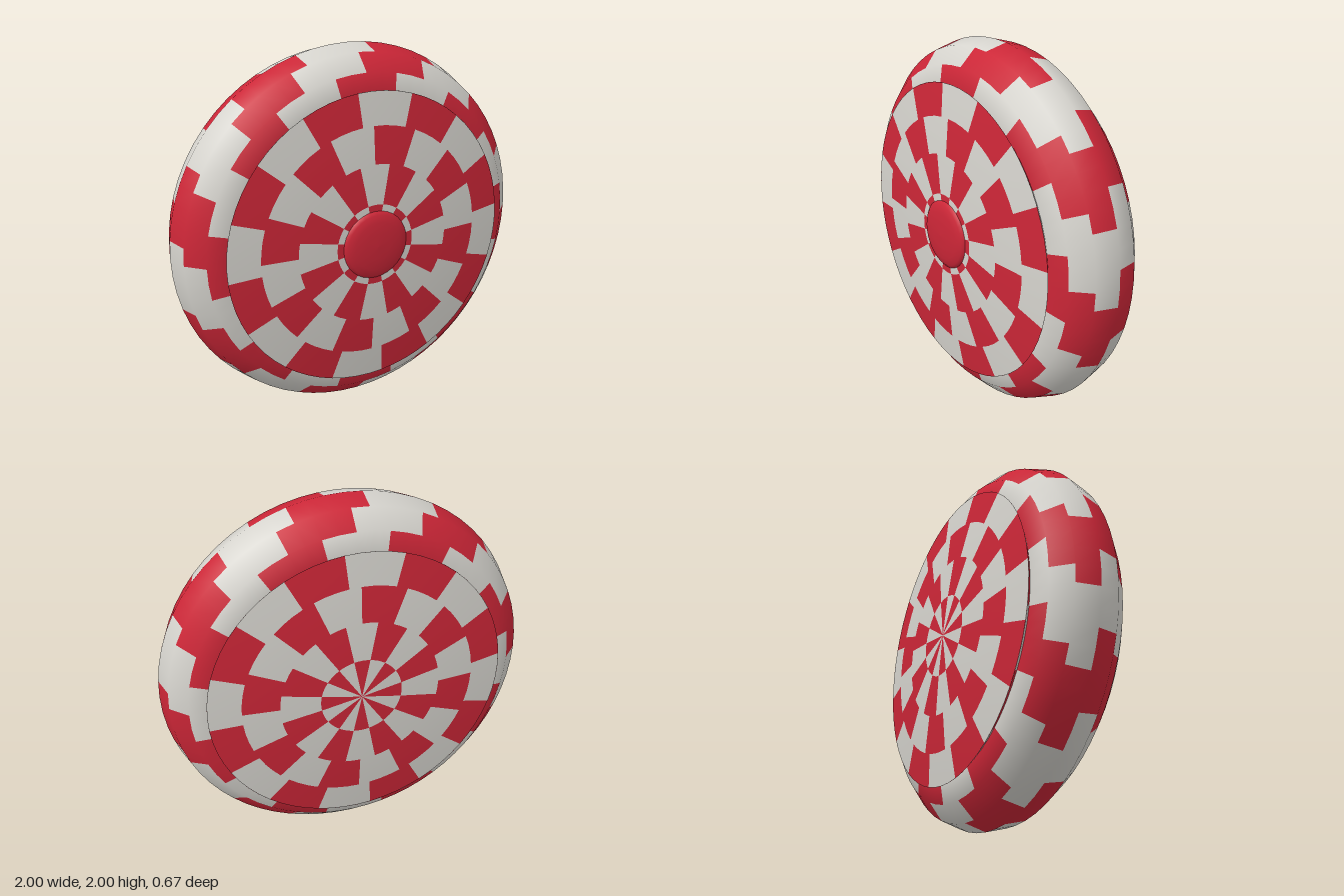
import * as THREE from 'three';

const SEGMENTS = 64; // around the wheel; the chequer repeats every 8
const red = new THREE.MeshStandardMaterial({ color: 0xcc2637, side: THREE.DoubleSide });
const pale = new THREE.MeshStandardMaterial({ color: 0xd6d4ce, side: THREE.DoubleSide });

// Revolve [radius, z] points about z. Each row of faces alternates four red
// and four pale faces; starts[row] is the segment where its red patch ends.
function chequeredRevolve(name, profile, starts) {
  const positions = [];
  for (const [r, z] of profile) {
    for (let k = 0; k < SEGMENTS; k++) {
      const a = (k / SEGMENTS) * Math.PI * 2;
      positions.push(r * Math.cos(a), r * Math.sin(a), z);
    }
  }
  const redFaces = [], paleFaces = [];
  for (let row = 0; row < profile.length - 1; row++) {
    for (let k = 0; k < SEGMENTS; k++) {
      const next = (k + 1) % SEGMENTS;
      const a = row * SEGMENTS + k, b = a + SEGMENTS;
      const c = (row + 1) * SEGMENTS + next, d = row * SEGMENTS + next;
      const isRed = (k - starts[row] + 4 + 64) % 8 < 4;
      (isRed ? redFaces : paleFaces).push(a, b, c, a, c, d);
    }
  }
  // Normals come from the whole surface so colour borders stay smooth
  const whole = new THREE.BufferGeometry();
  whole.setAttribute('position', new THREE.Float32BufferAttribute(positions, 3));
  whole.setIndex([...redFaces, ...paleFaces]);
  whole.computeVertexNormals();

  const group = new THREE.Group();
  group.name = name;
  for (const [label, faces, material] of [['Red', redFaces, red], ['Pale', paleFaces, pale]]) {
    const geometry = whole.clone();
    geometry.setIndex(faces);
    const mesh = new THREE.Mesh(geometry, material);
    mesh.name = name + label;
    group.add(mesh);
  }
  return group;
}

// Domed side plate with a sharp rim that tapers back into the ring
function sidePlate(name) {
  const plate = new THREE.Group();
  plate.name = name;
  const dome = [];
  for (let i = 0; i <= 4; i++) {
    const t = (i / 4) * (Math.PI / 4);
    dome.push([1.131 * Math.sin(t), 0.319 - 0.163 * 1.131 * (1 - Math.cos(t))]);
  }
  plate.add(chequeredRevolve('dome', dome, [18, 14, 16, 13]));
  plate.add(chequeredRevolve('rimTaper', [[0.8, 0.265], [0.72, 0.2]], [18]));
  return plate;
}

export function createModel() {
  const model = new THREE.Group();
  model.name = 'chequeredWheel';

  const wheel = new THREE.Group();
  wheel.name = 'wheel';
  wheel.position.set(0, 1, -0.0175);
  model.add(wheel);

  // Round outer ring, twelve-sided in section
  const section = [];
  for (let i = 0; i <= 12; i++) {
    const a = Math.PI - (i / 12) * Math.PI * 2;
    section.push([0.76 + 0.24 * Math.cos(a), 0.24 * Math.sin(a)]);
  }
  wheel.add(chequeredRevolve('outerRing', section, [22, 20, 19, 18, 16, 15, 17, 16, 14, 13, 12, 11]));

  // Side plates
  wheel.add(sidePlate('frontPlate'));
  const back = sidePlate('backPlate');
  back.rotation.y = Math.PI;
  wheel.add(back);

  // Shallow button at the centre of the front
  const outline = [[0.187, 0.3], [0.185, 0.318], [0.168, 0.332], [0.13, 0.342], [0.07, 0.348], [0, 0.35]]
    .map(([r, y]) => new THREE.Vector2(r, y));
  const button = new THREE.Mesh(new THREE.LatheGeometry(outline, 32), red);
  button.name = 'centreButton';
  button.rotation.x = Math.PI / 2;
  wheel.add(button);

  return model;
}
